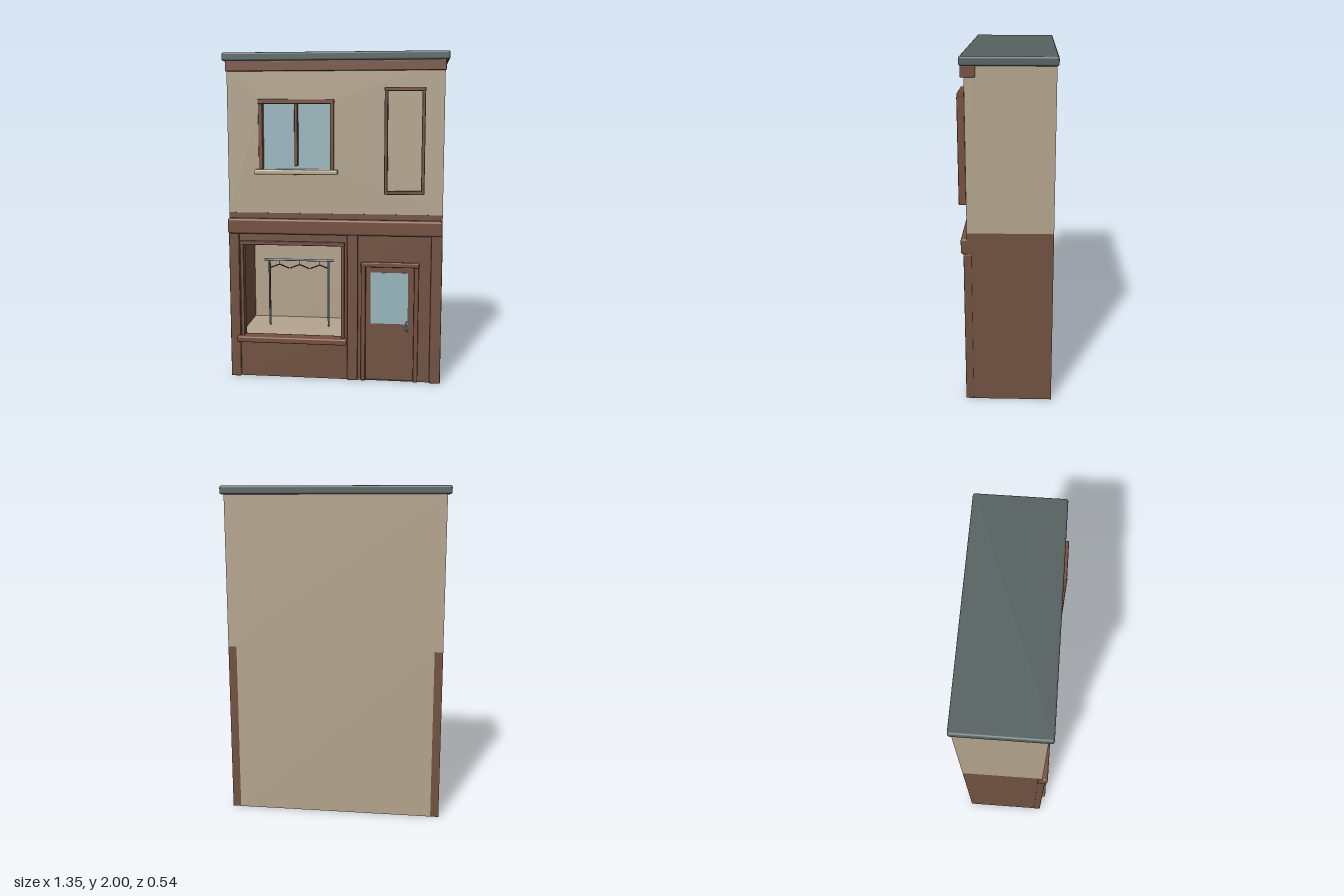
import * as THREE from 'three';
import { RoundedBoxGeometry } from 'three/addons/geometries/RoundedBoxGeometry.js';

const mat = (name, color) => {
  const m = new THREE.MeshStandardMaterial({ color });
  m.name = name;
  return m;
};

export function createModel() {
  const tan = mat('plaster', 0xb3a48d);
  const sillTan = mat('stone sill', 0xbcad95);
  const brown = mat('brown wood', 0x715242);
  const trim = mat('brown trim', 0x754f3e);
  const slate = mat('slate roof', 0x566160);
  const glass = mat('glass', 0x98b6bd);
  const metal = mat('rail metal', 0x7e97a5);
  const dark = mat('dark wood', 0x4a352b);

  const model = new THREE.Group();
  model.name = 'shopBuilding';

  const add = (name, geometry, material, parent = model) => {
    const mesh = new THREE.Mesh(geometry, material);
    mesh.name = name;
    parent.add(mesh);
    return mesh;
  };
  // Box given by its limits; a radius rounds the edges
  const block = (name, material, [x0, x1], [y0, y1], [z0, z1], radius = 0, parent = model) => {
    const size = [x1 - x0, y1 - y0, z1 - z0];
    const geometry = radius
      ? new RoundedBoxGeometry(...size, 2, Math.min(radius, Math.min(...size) * 0.45))
      : new THREE.BoxGeometry(...size);
    const mesh = add(name, geometry, material, parent);
    mesh.position.set((x0 + x1) / 2, (y0 + y1) / 2, (z0 + z1) / 2);
    return mesh;
  };
  const outline = (path, x0, x1, y0, y1) => {
    path.moveTo(x0, y0);
    path.lineTo(x1, y0);
    path.lineTo(x1, y1);
    path.lineTo(x0, y1);
    path.closePath();
    return path;
  };
  // Upright wall with rectangular openings
  const wall = (name, material, rect, holes, z0, z1) => {
    const shape = outline(new THREE.Shape(), ...rect);
    holes.forEach((h) => shape.holes.push(outline(new THREE.Path(), ...h)));
    const geometry = new THREE.ExtrudeGeometry(shape, { depth: z1 - z0, bevelEnabled: false });
    add(name, geometry, material).position.z = z0;
  };
  const group = (name) => {
    const g = new THREE.Group();
    g.name = name;
    model.add(g);
    return g;
  };

  // Upper storey
  block('upperStorey', tan, [-0.65, 0.65], [1.04, 1.95], [-0.26, 0.18]);
  wall('upperFrontWall', tan, [-0.65, 0.65, 1.04, 1.95], [[-0.445, -0.015, 1.3, 1.71]], 0.18, 0.22);

  // Ground floor shell, open underneath
  for (const s of [-1, 1]) {
    const xs = s < 0 ? [-0.65, -0.6] : [0.6, 0.65];
    block('lowerSideWall', brown, xs, [0, 1.04], [-0.26, 0.18]);
  }
  block('lowerBackWall', tan, [-0.6, 0.6], [0, 1.04], [-0.26, -0.23]);
  wall('shopFront', brown, [-0.65, 0.65, 0, 1.04],
    [[-0.57, 0.05, 0.26, 0.85], [0.19, 0.49, 0.001, 0.72]], 0.18, 0.221);
  block('displayFloor', tan, [-0.6, 0.6], [0.24, 0.26], [-0.23, 0.18]);

  // Roof and mouldings
  block('roof', slate, [-0.675, 0.675], [1.95, 2], [-0.27, 0.245], 0.012);
  block('topMoulding', trim, [-0.655, 0.655], [1.89, 1.951], [0.16, 0.24], 0.006);
  block('shopCornice', trim, [-0.655, 0.65], [0.912, 1.006], [0.19, 0.255], 0.014);

  // Pilasters
  for (const xs of [[-0.652, -0.59], [0.08, 0.145], [0.585, 0.652]]) {
    block('pilaster', brown, xs, [0, 0.915], [0.195, 0.24], 0.006);
  }

  // Upper window
  const win = group('upperWindow');
  block('windowGlass', glass, [-0.445, -0.015], [1.3, 1.71], [0.183, 0.19], 0, win);
  for (const x of [-0.4475, -0.0135]) {
    block('windowJamb', trim, [x - 0.0125, x + 0.0125], [1.3, 1.715], [0.18, 0.228], 0.004, win);
  }
  block('windowHead', trim, [-0.462, 0], [1.698, 1.727], [0.18, 0.231], 0.005, win);
  block('windowMullion', trim, [-0.242, -0.222], [1.328, 1.705], [0.185, 0.222], 0.004, win);
  block('windowSill', sillTan, [-0.485, 0.022], [1.277, 1.307], [0.185, 0.262], 0.01, win);

  // Empty sign frame, held just off the wall
  const sign = group('signFrame');
  for (const x of [0.311, 0.529]) {
    block('signUpright', trim, [x - 0.01, x + 0.01], [1.167, 1.775], [0.23, 0.272], 0.005, sign);
  }
  block('signTop', trim, [0.3, 0.54], [1.77, 1.793], [0.232, 0.27], 0.005, sign);
  block('signBottom', trim, [0.302, 0.538], [1.165, 1.185], [0.23, 0.272], 0.005, sign);

  // Shop window surround
  const shop = group('shopWindowFrame');
  for (const x of [-0.574, 0.052]) {
    block('shopWindowJamb', trim, [x - 0.011, x + 0.011], [0.255, 0.85], [0.18, 0.236], 0.005, shop);
  }
  block('shopWindowHead', trim, [-0.588, 0.064], [0.842, 0.865], [0.18, 0.24], 0.005, shop);
  block('shopWindowSill', trim, [-0.605, 0.08], [0.228, 0.266], [0.18, 0.266], 0.009, shop);

  // Door
  const door = group('door');
  block('doorPanel', brown, [0.19, 0.49], [0, 0.72], [0.185, 0.205], 0, door);
  block('doorGlass', glass, [0.222, 0.45], [0.36, 0.68], [0.202, 0.208], 0, door);
  for (const x of [0.178, 0.5]) {
    block('doorJamb', trim, [x - 0.014, x + 0.014], [0, 0.725], [0.18, 0.236], 0.005, door);
  }
  block('doorHead', trim, [0.162, 0.516], [0.718, 0.748], [0.18, 0.24], 0.007, door);
  block('doorHandlePlate', metal, [0.438, 0.454], [0.315, 0.378], [0.2, 0.216], 0.005, door);
  block('doorHandle', metal, [0.441, 0.451], [0.325, 0.36], [0.21, 0.235], 0.004, door);

  // Clothes rail with hangers
  const rack = group('clothesRail');
  const railZ = -0.03;
  for (const x of [-0.455, -0.068]) {
    const post = add('railPost', new THREE.CylinderGeometry(0.006, 0.006, 0.44, 10), metal, rack);
    post.position.set(x, 0.48, railZ);
  }
  const rail = add('rail', new THREE.CylinderGeometry(0.007, 0.007, 0.455, 10), metal, rack);
  rail.rotation.z = Math.PI / 2;
  rail.position.set(-0.263, 0.698, railZ);
  block('railStrip', dark, [-0.461, -0.449], [0.37, 0.69], [railZ + 0.004, railZ + 0.01], 0, rack);

  for (let i = 0; i < 3; i++) {
    const x = -0.39 + i * 0.1325;
    const arms = new THREE.CurvePath();
    const tip = new THREE.Vector3(x, 0.668, railZ);
    for (const s of [-1, 1]) {
      const end = new THREE.Vector3(x + s * 0.063, 0.643, railZ);
      arms.add(s < 0 ? new THREE.LineCurve3(end, tip) : new THREE.LineCurve3(tip, end));
    }
    add('hanger', new THREE.TubeGeometry(arms, 8, 0.004, 6), dark, rack);
    const hook = add('hangerHook', new THREE.CylinderGeometry(0.002, 0.002, 0.03, 6), dark, rack);
    hook.position.set(x, 0.682, railZ);
  }
  return model;
}
